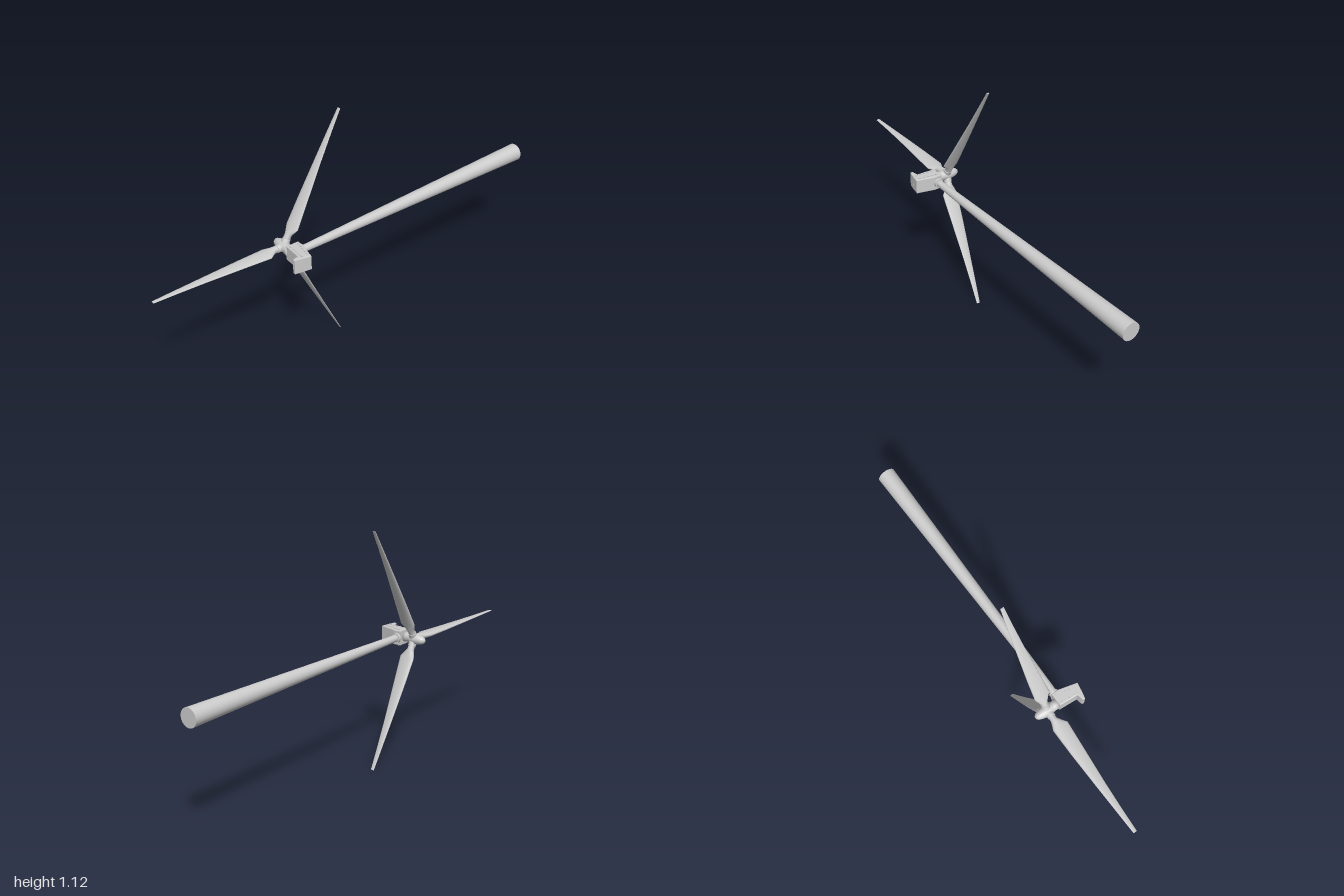
import * as THREE from 'three';

const mat = new THREE.MeshStandardMaterial({ color: 0xcccccc });
const AXIS_Y = 0.571, HUB = new THREE.Vector3(-0.058, AXIS_Y, 0.357);

function add(parent, name, geo) {
  const mesh = new THREE.Mesh(geo, mat);
  mesh.name = name;
  parent.add(mesh);
  return mesh;
}

// Lofts teardrop sections [distance, leading edge, trailing edge, thickness, sharpness]
function bladeGeometry() {
  const sections = [
    [0.01, -0.016, 0.016, 0.032, 0], [0.052, -0.016, 0.016, 0.032, 0],
    [0.068, -0.022, 0.027, 0.031, 0.4], [0.092, -0.032, 0.044, 0.027, 0.8],
    [0.22, -0.029, 0.034, 0.02, 1], [0.4, -0.021, 0.02, 0.013, 1],
    [0.54, -0.014, 0.012, 0.009, 1], [0.638, -0.009, 0.008, 0.005, 0.8],
  ];
  const sides = 16, pos = [], index = [];
  for (const [r, lead, trail, thick, sharp] of sections) {
    for (let i = 0; i < sides; i++) {
      const a = i / sides * Math.PI * 2, c = Math.cos(a);
      const taper = 1 - sharp * 0.45 * (c + 1) / 2;
      pos.push((lead + trail) / 2 + c * (trail - lead) / 2, r, Math.sin(a) * thick / 2 * taper);
    }
  }
  for (let s = 0; s < sections.length - 1; s++) {
    for (let i = 0; i < sides; i++) {
      const a = s * sides + i, b = s * sides + (i + 1) % sides;
      index.push(a, a + sides, b, b, a + sides, b + sides);
    }
  }
  // Flat tip with its own vertices
  const last = (sections.length - 1) * sides, cap = pos.length / 3;
  pos.push(...pos.slice(last * 3, (last + sides) * 3));
  for (let i = 1; i < sides - 1; i++) index.push(cap, cap + i + 1, cap + i);
  const geo = new THREE.BufferGeometry();
  geo.setAttribute('position', new THREE.Float32BufferAttribute(pos, 3));
  geo.setIndex(index);
  geo.computeVertexNormals();
  return geo;
}

function createRotor() {
  const rotor = new THREE.Group();
  rotor.name = 'rotor';
  rotor.position.copy(HUB);
  // Spinner along the shaft axis, nose towards -x
  const profile = [[0, -0.062], [0.008, -0.06], [0.015, -0.053], [0.021, -0.038], [0.025, -0.018],
    [0.026, 0.004], [0.023, 0.022], [0.022, 0.035], [0.026, 0.056], [0, 0.056]];
  const spinner = new THREE.LatheGeometry(profile.map(p => new THREE.Vector2(...p)), 32);
  add(rotor, 'spinner', spinner.rotateZ(-Math.PI / 2)).rotation.set(0, -0.023, 0.026);

  // Three blades on a slightly tilted rotor plane
  const geo = bladeGeometry();
  const tips = [[-0.015, 0, 0.643], [-0.007, 0.55, -0.316], [0.021, -0.568, -0.286]];
  tips.forEach((tip, i) => {
    const up = new THREE.Vector3(...tip).normalize();
    const depth = new THREE.Vector3(1, 0, 0).cross(up).normalize();
    const chord = up.clone().cross(depth);
    const blade = new THREE.Group();
    blade.name = 'bladeAssembly' + (i + 1);
    blade.quaternion.setFromRotationMatrix(new THREE.Matrix4().makeBasis(chord, up, depth));
    add(blade, 'blade', geo);
    add(blade, 'bladeCollar', new THREE.CylinderGeometry(0.018, 0.02, 0.03, 24)).position.y = 0.022;
    rotor.add(blade);
  });
  return rotor;
}

// Extrudes an x-z outline to a given width, centred on the shaft height
function slab(points, width, bevel) {
  const shape = new THREE.Shape(points.map(p => new THREE.Vector2(...p)));
  const depth = width - 2 * bevel;
  const geo = new THREE.ExtrudeGeometry(shape, {
    depth, bevelEnabled: true, bevelThickness: bevel, bevelSize: bevel, bevelOffset: -bevel, bevelSegments: 2,
  });
  return geo.translate(0, 0, -depth / 2).rotateX(Math.PI / 2).translate(0, AXIS_Y, 0);
}

function createNacelle() {
  const nacelle = new THREE.Group();
  nacelle.name = 'nacelle';
  add(nacelle, 'housing', slab([[-0.007, 0.318], [0.03, 0.318], [0.116, 0.341],
    [0.107, 0.388], [-0.007, 0.38]], 0.072, 0.004));
  // Upright cooler at the rear
  add(nacelle, 'rearCooler', slab([[0.079, 0.375], [0.11, 0.375], [0.1, 0.417], [0.088, 0.417]], 0.072, 0.003));
  // Small vents in rows on both flanks
  const vent = new THREE.BoxGeometry(0.012, 0.006, 0.006);
  for (const side of [-1, 1]) {
    for (let row = 0; row < 2; row++) {
      for (let i = 0; i < 5; i++) {
        const x = 0.012 + i * 0.02;
        const z = row ? 0.37 + x * 0.05 : 0.328 + x * 0.2;
        add(nacelle, 'vent', vent).position.set(x, AXIS_Y + side * 0.036, z);
      }
    }
  }
  return nacelle;
}

export function createModel() {
  const model = new THREE.Group();
  model.name = 'windTurbine';

  // Tapered tower lying along z
  const tower = new THREE.CylinderGeometry(0.016, 0.042, 1.32, 40).rotateX(Math.PI / 2);
  add(model, 'tower', tower).position.set(0.012, AXIS_Y, -0.34);
  const collar = new THREE.CylinderGeometry(0.022, 0.022, 0.014, 32).rotateX(Math.PI / 2);
  add(model, 'towerCollar', collar).position.set(0.012, AXIS_Y, 0.313);

  model.add(createNacelle(), createRotor());
  return model;
}
